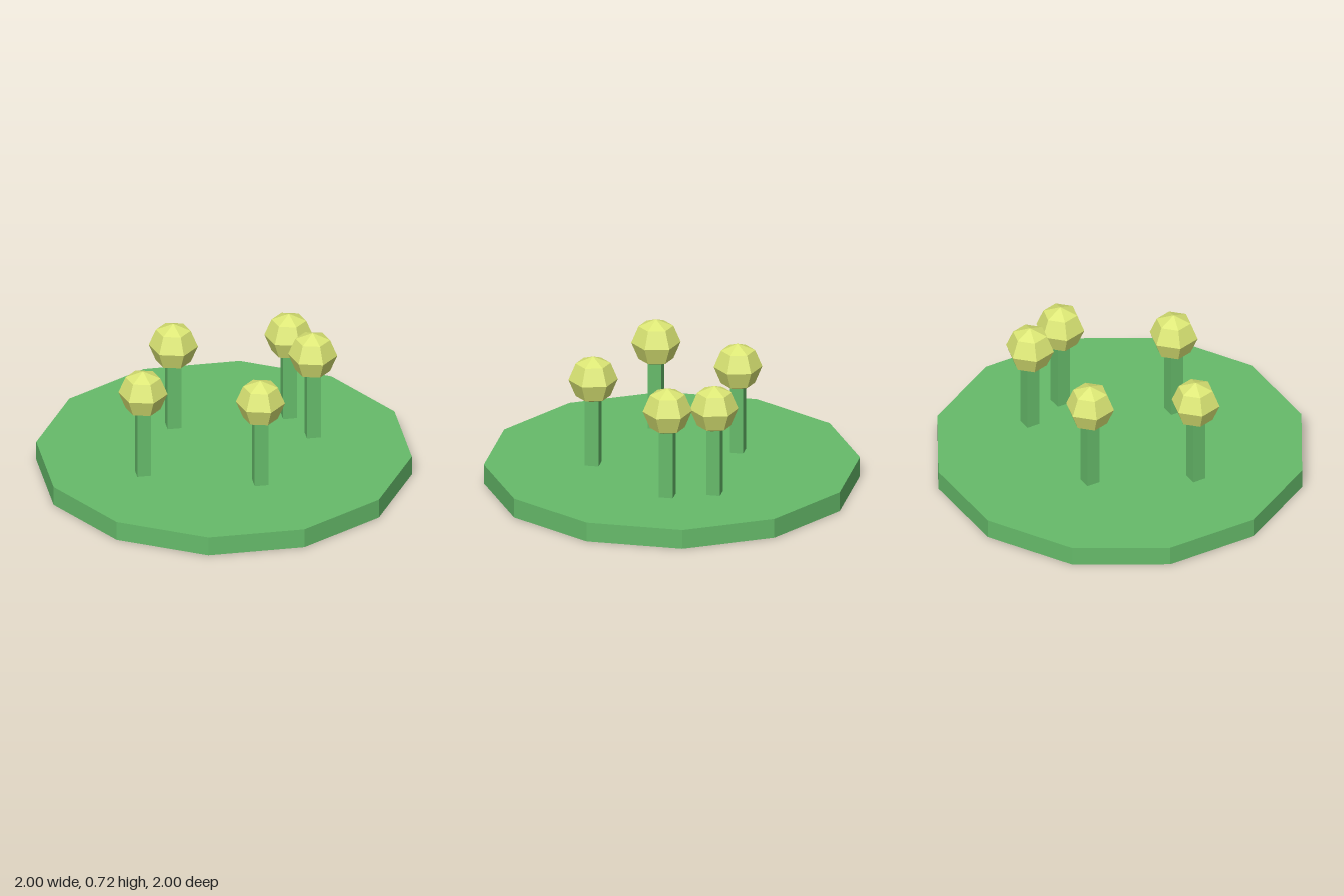
import * as THREE from 'three';

export function createModel() {
  const model = new THREE.Group();
  const green = new THREE.MeshStandardMaterial({ color: 0x66bb6a, flatShading: true });
  const yellow = new THREE.MeshStandardMaterial({ color: 0xdce775, flatShading: true });

  const add = (parent, name, geometry, material, y) => {
    const mesh = new THREE.Mesh(geometry, material);
    mesh.name = name;
    mesh.position.y = y;
    parent.add(mesh);
    return mesh;
  };

  // Twelve-sided ground slab
  const slab = 0.107;
  add(model, 'ground', new THREE.CylinderGeometry(1, 1, slab, 12), green, slab / 2);

  // Four-sided stem and low-poly ball, shared by every flower
  const headY = 0.587;
  const stemGeometry = new THREE.CylinderGeometry(0.053, 0.053, headY - slab, 4);
  const headGeometry = new THREE.SphereGeometry(0.131, 6, 4).rotateY(Math.PI / 2);

  // Flower positions on the ground (x, z)
  const spots = [[0.065, -0.51], [0.293, -0.403], [-0.374, -0.067], [0.372, 0.197], [-0.2, 0.466]];
  for (const [x, z] of spots) {
    const flower = new THREE.Group();
    flower.name = 'flower';
    flower.position.set(x, 0, z);
    add(flower, 'stem', stemGeometry, green, (headY + slab) / 2);
    add(flower, 'flowerHead', headGeometry, yellow, headY);
    model.add(flower);
  }
  return model;
}
